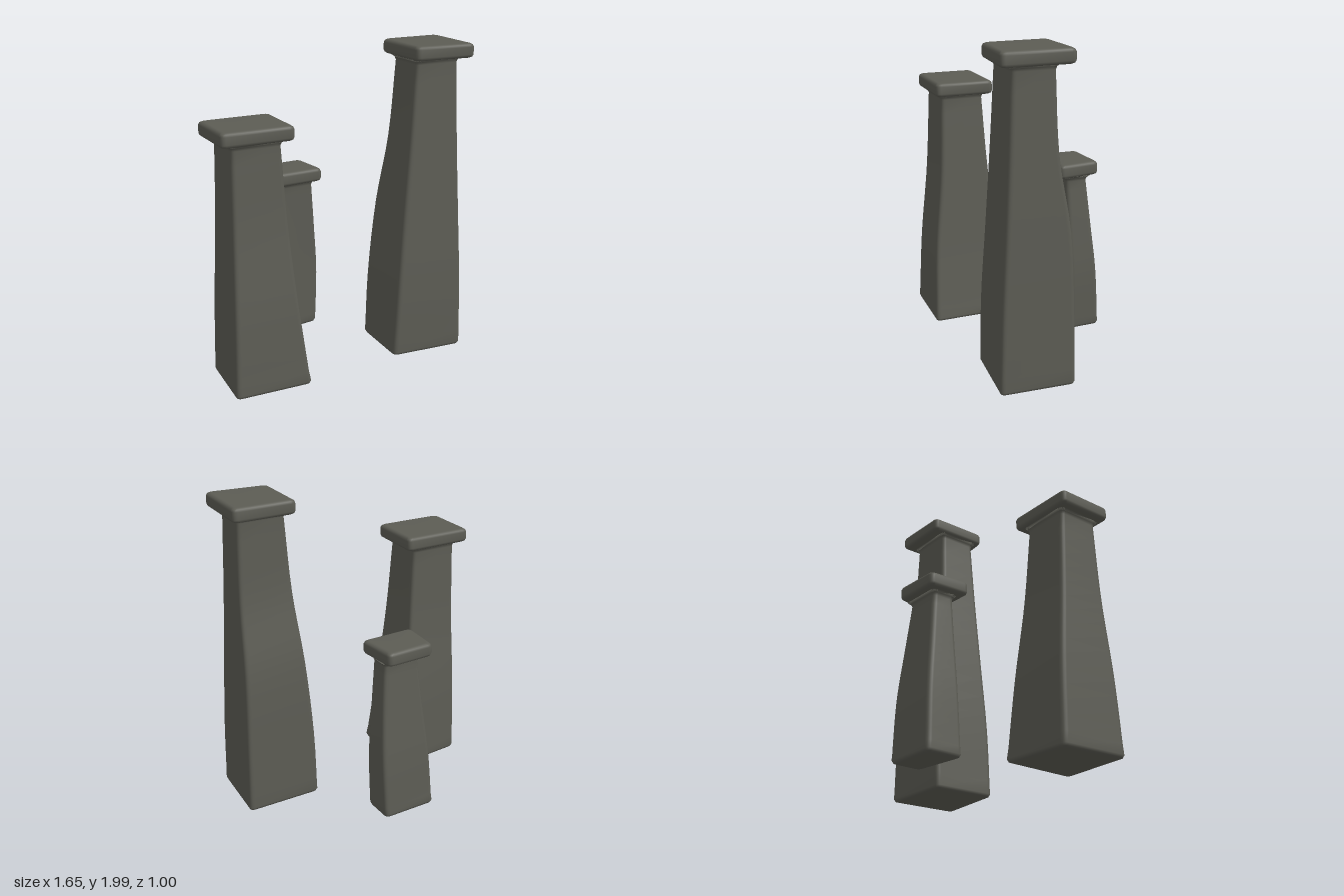
import * as THREE from 'three';

const stone = new THREE.MeshStandardMaterial({ color: 0x5c5c54 });
stone.name = 'dark stone';

// Quads list [x, z] corners: back-left, front-left, front-right, back-right
const SIGNS = [[-1, -1], [-1, 1], [1, 1], [1, -1]];
const inset = (quad, d) => quad.map(([x, z], i) => [x - SIGNS[i][0] * d, z - SIGNS[i][1] * d]);

// Horizontal ring around a quad with rounded corners
function roundedRing(quad, y, r, steps = 5) {
  const pts = [];
  const v = quad.map(([x, z]) => new THREE.Vector2(x, z));
  v.forEach((c, i) => {
    const toward = (o) => c.clone().add(o.clone().sub(c).setLength(r));
    const arc = new THREE.QuadraticBezierCurve(toward(v[(i + 3) % 4]), c, toward(v[(i + 1) % 4]));
    for (const p of arc.getPoints(steps)) pts.push([p.x, y, p.y]);
  });
  return pts;
}

// Closed smooth skin over a stack of rings
function loft(rings) {
  const n = rings[0].length;
  const pos = rings.flat(2);
  const index = [];
  for (let k = 0; k < rings.length - 1; k++) {
    for (let i = 0; i < n; i++) {
      const j = (i + 1) % n;
      const a = k * n + i, b = k * n + j;
      index.push(a, b, b + n, a, b + n, a + n);
    }
  }
  [0, rings.length - 1].forEach((k) => {
    const centre = pos.length / 3;
    for (let a = 0; a < 3; a++) pos.push(rings[k].reduce((s, p) => s + p[a], 0) / n);
    for (let i = 0; i < n; i++) {
      const a = k * n + i, b = k * n + (i + 1) % n;
      index.push(centre, ...(k ? [a, b] : [b, a]));
    }
  });
  const g = new THREE.BufferGeometry();
  g.setAttribute('position', new THREE.Float32BufferAttribute(pos, 3));
  g.setIndex(index);
  g.computeVertexNormals();
  return g;
}

function makePillar(name, { levels, cap, capBottom, top }) {
  const group = new THREE.Group();
  group.name = name;
  const add = (part, rings) => {
    const m = new THREE.Mesh(loft(rings), stone);
    m.name = part;
    group.add(m);
  };

  // Uneven tapering shaft: each corner follows a smooth path upward
  const paths = [0, 1, 2, 3].map((c) => new THREE.CatmullRomCurve3(
    levels.map(([y, q]) => new THREE.Vector3(q[c][0], y, q[c][1]))));
  const foot = levels[0][1];
  const rings = [[0.012, 0.03], [0.012, 0.02], [0.018, 0.005]].map(([y, d]) => [y, d]);
  const shaft = [
    roundedRing(inset(foot, 0.025), 0.01, 0.03),
    roundedRing(inset(foot, 0.007), 0.014, 0.03),
    roundedRing(foot, 0.03, 0.03),
  ];
  const steps = 16;
  let last;
  for (let s = 1; s <= steps; s++) {
    const pts = paths.map((p) => p.getPoint(s / steps));
    last = pts.map((p) => [p.x, p.z]);
    shaft.push(roundedRing(last, pts[0].y, 0.03));
  }
  // Flared neck meeting the cap
  shaft.push(roundedRing(inset(last, -0.006), capBottom - 0.012, 0.03));
  shaft.push(roundedRing(inset(last, -0.022), capBottom + 0.003, 0.03));
  add('shaft', shaft);

  // Flat capstone with softened edges
  const profile = [[0.026, 0], [0.016, 0.002], [0.005, 0.009], [0, 0.022]];
  const lower = profile.map(([d, h]) => roundedRing(inset(cap, d), capBottom + h, 0.03));
  const upper = profile.map(([d, h]) => roundedRing(inset(cap, d), top - h, 0.03)).reverse();
  add('capstone', [...lower, ...upper]);
  return group;
}

const PILLARS = {
  tallPillar: {
    capBottom: 1.91, top: 2,
    cap: [[0.425, 0.02], [0.425, 0.425], [0.82, 0.455], [0.825, 0.015]],
    levels: [
      [0, [[0.335, 0], [0.32, 0.42], [0.805, 0.46], [0.825, -0.005]]],
      [0.45, [[0.35, 0], [0.345, 0.42], [0.8, 0.445], [0.815, 0]]],
      [0.95, [[0.39, 0.02], [0.385, 0.4], [0.785, 0.415], [0.8, 0.02]]],
      [1.4, [[0.43, 0.09], [0.425, 0.385], [0.77, 0.39], [0.782, 0.09]]],
      [1.88, [[0.46, 0.11], [0.46, 0.37], [0.757, 0.37], [0.767, 0.11]]],
    ],
  },
  middlePillar: {
    capBottom: 1.53, top: 1.62,
    cap: [[-0.83, 0.06], [-0.83, 0.435], [-0.38, 0.44], [-0.375, 0.06]],
    levels: [
      [0, [[-0.77, 0.04], [-0.8, 0.485], [-0.31, 0.5], [-0.315, 0]]],
      [0.5, [[-0.765, 0.055], [-0.785, 0.46], [-0.372, 0.47], [-0.37, 0.025]]],
      [1, [[-0.757, 0.09], [-0.765, 0.415], [-0.412, 0.415], [-0.41, 0.08]]],
      [1.5, [[-0.755, 0.11], [-0.755, 0.39], [-0.445, 0.39], [-0.445, 0.11]]],
    ],
  },
  smallPillar: {
    capBottom: 1.05, top: 1.14,
    cap: [[-0.22, -0.47], [-0.23, -0.195], [0.125, -0.21], [0.095, -0.485]],
    levels: [
      [0, [[-0.245, -0.49], [-0.24, -0.245], [0.12, -0.29], [0.115, -0.5]]],
      [0.4, [[-0.218, -0.47], [-0.215, -0.25], [0.128, -0.285], [0.122, -0.475]]],
      [0.72, [[-0.187, -0.435], [-0.185, -0.255], [0.105, -0.275], [0.105, -0.44]]],
      [1.02, [[-0.16, -0.405], [-0.16, -0.26], [0.08, -0.265], [0.08, -0.41]]],
    ],
  },
};

export function createModel() {
  const model = new THREE.Group();
  model.name = 'stonePillars';
  for (const [name, spec] of Object.entries(PILLARS)) model.add(makePillar(name, spec));
  return model;
}
